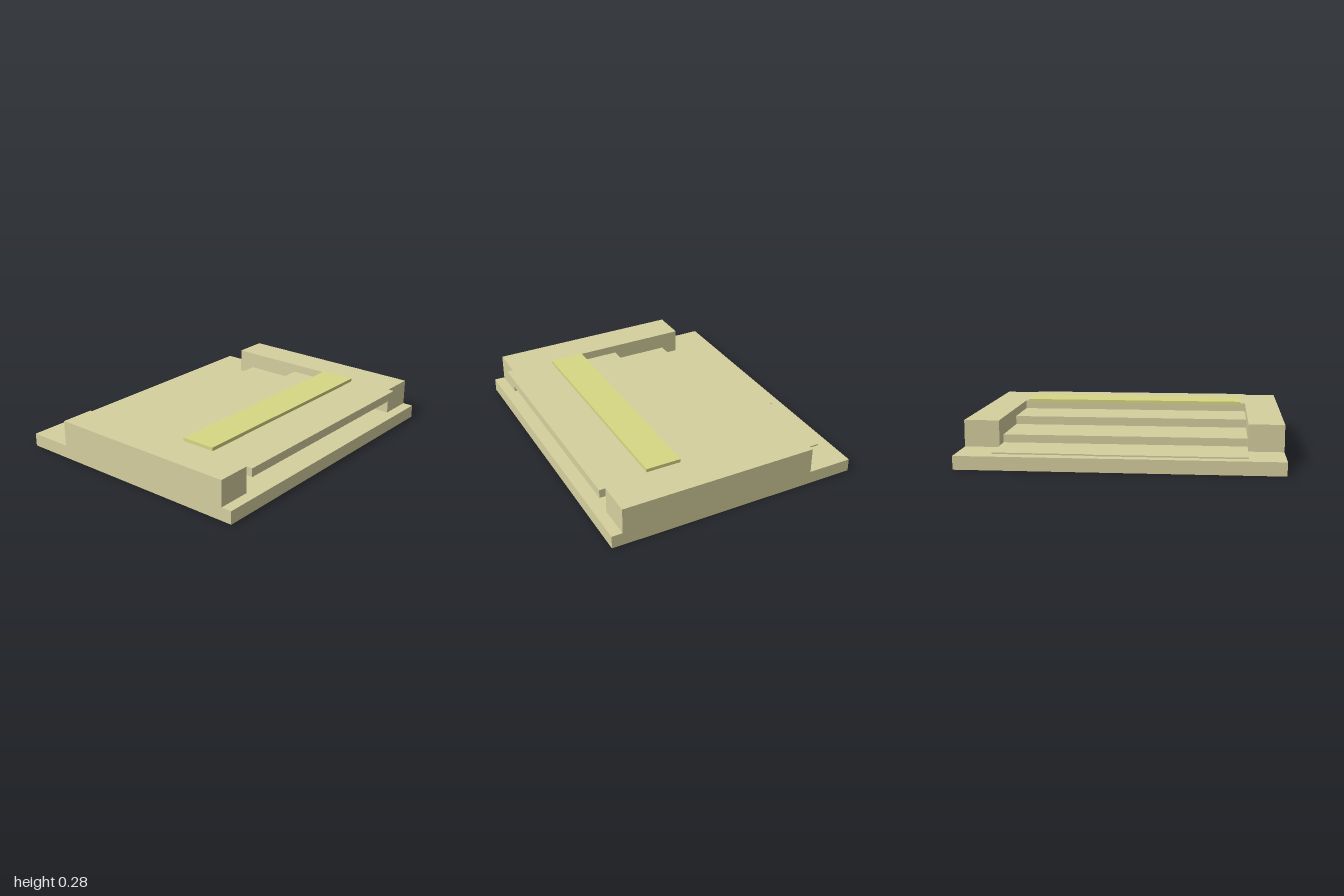
import * as THREE from 'three';

export function createModel() {
  const group = new THREE.Group();
  const tan = new THREE.MeshStandardMaterial({ color: 0xd6d09f, flatShading: true });
  const yellow = new THREE.MeshStandardMaterial({ color: 0xd8d885, flatShading: true });

  // Box given by its lower and upper limits on each axis
  function block(name, [x0, x1], [y0, y1], [z0, z1], material = tan) {
    const mesh = new THREE.Mesh(new THREE.BoxGeometry(x1 - x0, y1 - y0, z1 - z0), material);
    mesh.position.set((x0 + x1) / 2, (y0 + y1) / 2, (z0 + z1) / 2);
    mesh.name = name;
    group.add(mesh);
  }

  block('base', [-1, 1], [0, 0.085], [-0.83, 0.83]);

  // Side walls
  block('leftWall', [0.777, 1], [0.085, 0.255], [-0.535, 0.76]);
  block('rightWall', [-1, -0.777], [0.085, 0.255], [-0.535, 0.76]);

  // Overlapping slabs stepping up from back to front, the top one overhanging
  block('topSlab', [-0.777, 0.777], [0.2, 0.255], [0.32, 0.8]);
  block('middleSlab', [-0.777, 0.777], [0.145, 0.2], [-0.03, 0.42]);
  block('lowerSlab', [-0.777, 0.777], [0.094, 0.145], [-0.42, 0.06]);

  // Thin floor plate, with one back corner set in
  const outline = new THREE.Shape([
    [-0.777, 0.76], [0.21, 0.76], [0.21, 0.75], [0.777, 0.75], [0.777, 0.3], [-0.777, 0.3],
  ].map(([x, y]) => new THREE.Vector2(x, y)));
  const plate = new THREE.Mesh(
    new THREE.ExtrudeGeometry(outline, { depth: 0.009, bevelEnabled: false }), tan);
  plate.rotation.x = -Math.PI / 2;
  plate.position.y = 0.085;
  plate.name = 'floorPlate';
  group.add(plate);

  // Raised strip on the top slab
  block('topStrip', [-0.745, 0.745], [0.255, 0.277], [0.25, 0.478], yellow);

  return group;
}
